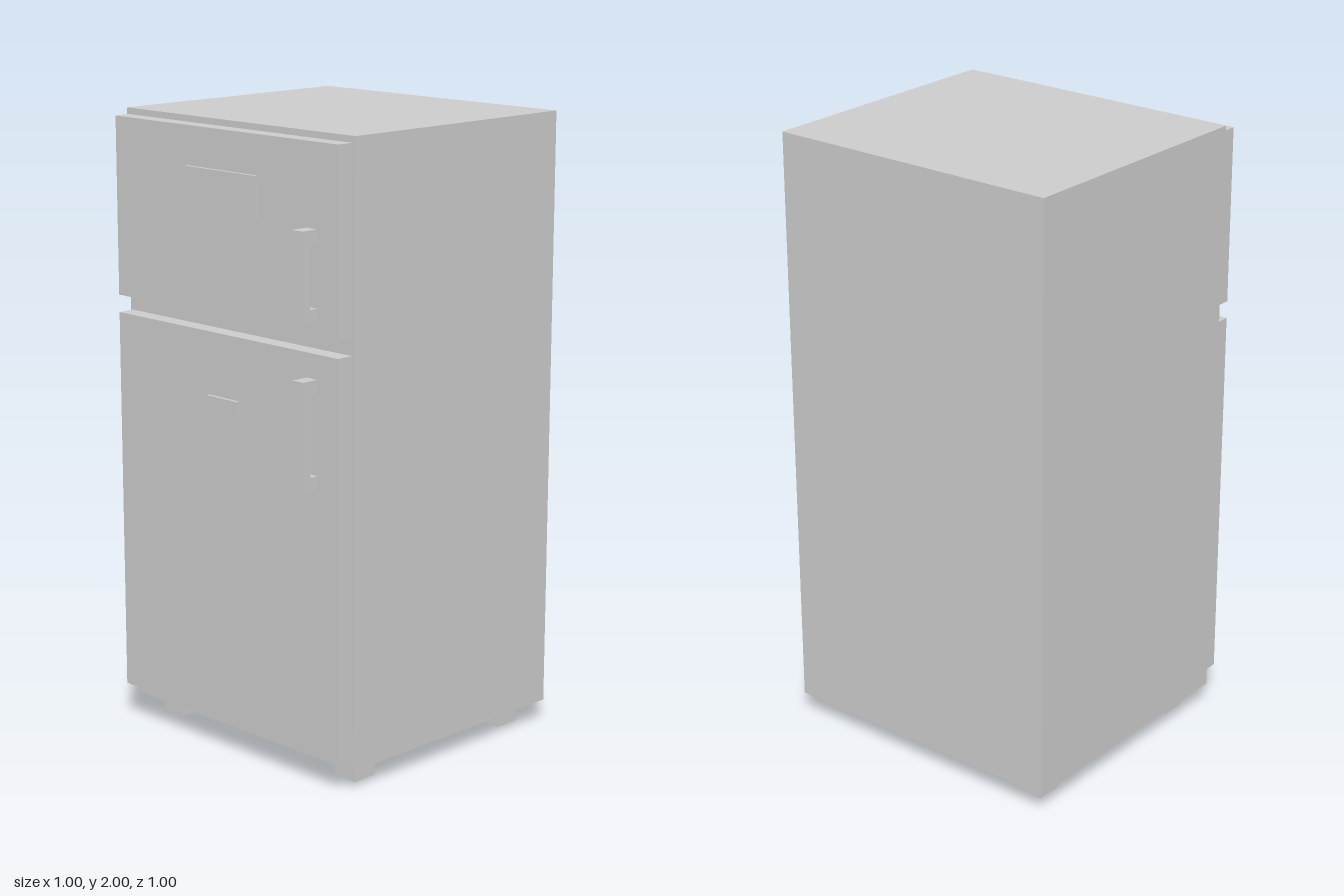
import * as THREE from 'three';

const material = new THREE.MeshStandardMaterial({ color: 0xcccccc, side: THREE.DoubleSide });

export function createModel() {
  const group = new THREE.Group();
  group.name = 'refrigerator';

  function add(name, geometry) {
    const mesh = new THREE.Mesh(geometry, material);
    mesh.name = name;
    group.add(mesh);
  }

  // Box given by its lower and upper corners
  function box([x0, y0, z0], [x1, y1, z1]) {
    return new THREE.BoxGeometry(x1 - x0, y1 - y0, z1 - z0)
      .translate((x0 + x1) / 2, (y0 + y1) / 2, (z0 + z1) / 2);
  }

  // Same box without its bottom face
  function openBox(lo, hi) {
    const geometry = box(lo, hi);
    const index = Array.from(geometry.index.array);
    index.splice(18, 6);
    geometry.setIndex(index);
    geometry.clearGroups();
    return geometry;
  }

  // C-shaped side profile extruded across the width of the handle
  function handle(y0, y1) {
    const back = 0.443, inner = 0.47, front = 0.5, end = 0.042;
    const profile = new THREE.Shape([
      [back, y0], [front, y0], [front, y1], [back, y1],
      [back, y1 - end], [inner, y1 - end], [inner, y0 + end], [back, y0 + end],
    ].map(([z, y]) => new THREE.Vector2(z, y)));
    return new THREE.ExtrudeGeometry(profile, { depth: 0.044, bevelEnabled: false })
      .rotateY(-Math.PI / 2)
      .translate(0.4, 0, 0);
  }

  // Cabinet shell, open underneath
  add('cabinet', openBox([-0.5, 0.07, -0.5], [0.5, 2, 0.387]));

  // Doors
  add('freezerDoor', box([-0.49, 1.414, 0.387], [0.488, 1.98, 0.443]));
  add('fridgeDoor', box([-0.49, 0.115, 0.387], [0.488, 1.358, 0.443]));

  // Raised plates on the doors
  add('freezerPlate', box([-0.157, 1.728, 0.443], [0.153, 1.858, 0.455]));
  add('fridgePlate', box([-0.068, 1.118, 0.443], [0.066, 1.16, 0.455]));

  // Handles
  add('freezerHandle', handle(1.452, 1.727));
  add('fridgeHandle', handle(0.948, 1.282));

  // Feet
  for (const x of [-0.4, 0.398]) {
    for (const z of [-0.387, 0.278]) {
      add('foot', openBox([x - 0.043, 0, z - 0.043], [x + 0.043, 0.07, z + 0.043]));
    }
  }

  return group;
}
